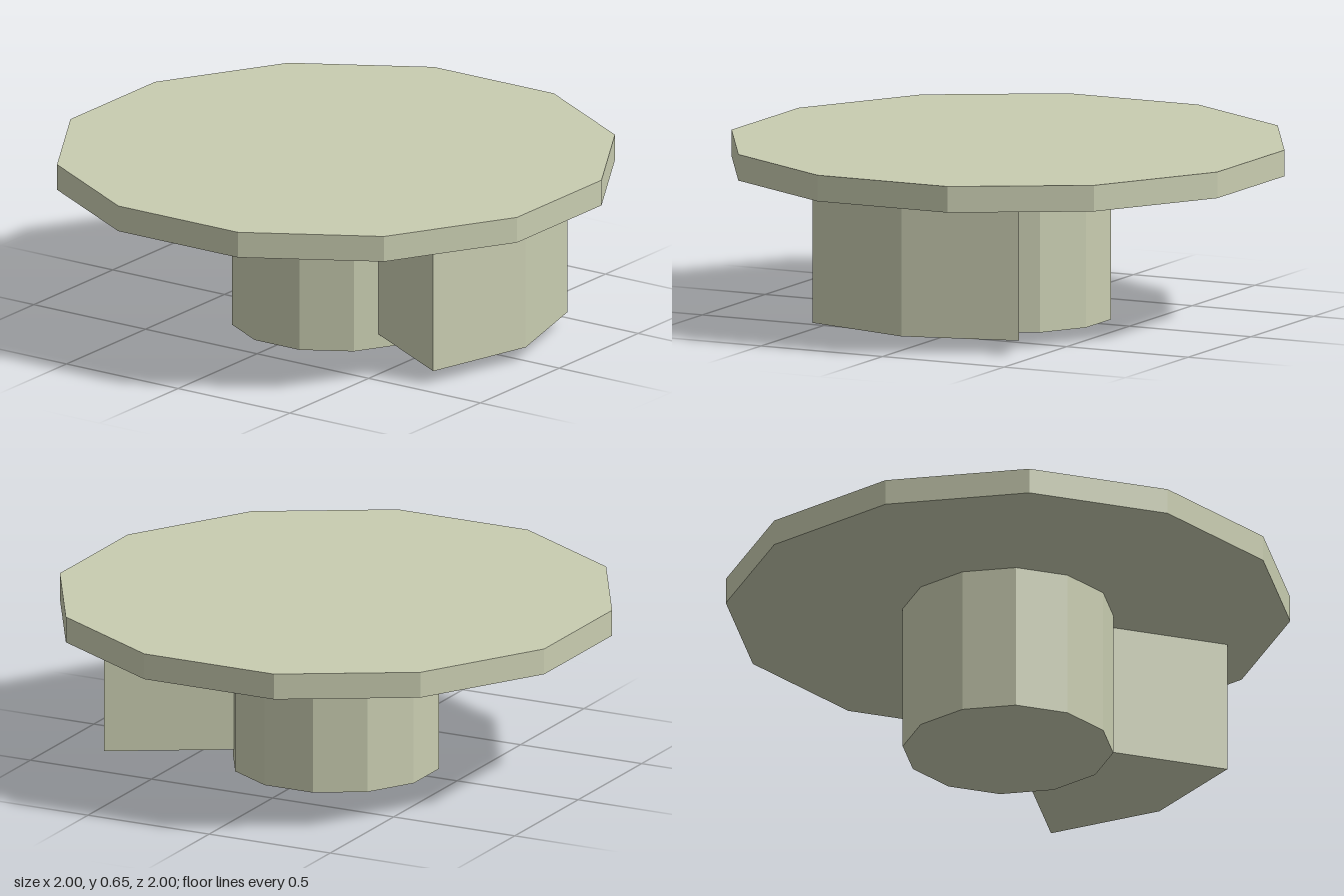
import * as THREE from 'three';

export function createModel() {
  const group = new THREE.Group();
  const material = new THREE.MeshStandardMaterial({ color: 0xc8ccb0, flatShading: true });

  const add = (name, geometry) => {
    const mesh = new THREE.Mesh(geometry, material);
    mesh.name = name;
    group.add(mesh);
  };

  // Twelve-sided disc, sized across its flats, with a flat facing the front
  const prism = (halfWidth, bottom, top) => {
    const radius = halfWidth / Math.cos(Math.PI / 12);
    return new THREE.CylinderGeometry(radius, radius, top - bottom, 12)
      .rotateY(Math.PI / 12)
      .translate(0, (bottom + top) / 2, 0);
  };

  add('topDisc', prism(1, 0.555, 0.652));
  add('hub', prism(0.373, 0, 0.555));

  // Sector block in front of the hub: 60 degrees wide, two outer facets
  const polar = (radius, degrees) => {
    const a = THREE.MathUtils.degToRad(degrees);
    return new THREE.Vector2(radius * Math.sin(a), radius * Math.cos(a));
  };
  const sector = new THREE.Shape([
    ...[30, 0, -30].map((d) => polar(0.85, d)),
    ...[-30, 30].map((d) => polar(0.373, d)),
  ]);
  add('frontSector', new THREE.ExtrudeGeometry(sector, { depth: 0.503, bevelEnabled: false })
    .rotateX(Math.PI / 2)
    .translate(0, 0.555, 0));

  return group;
}
